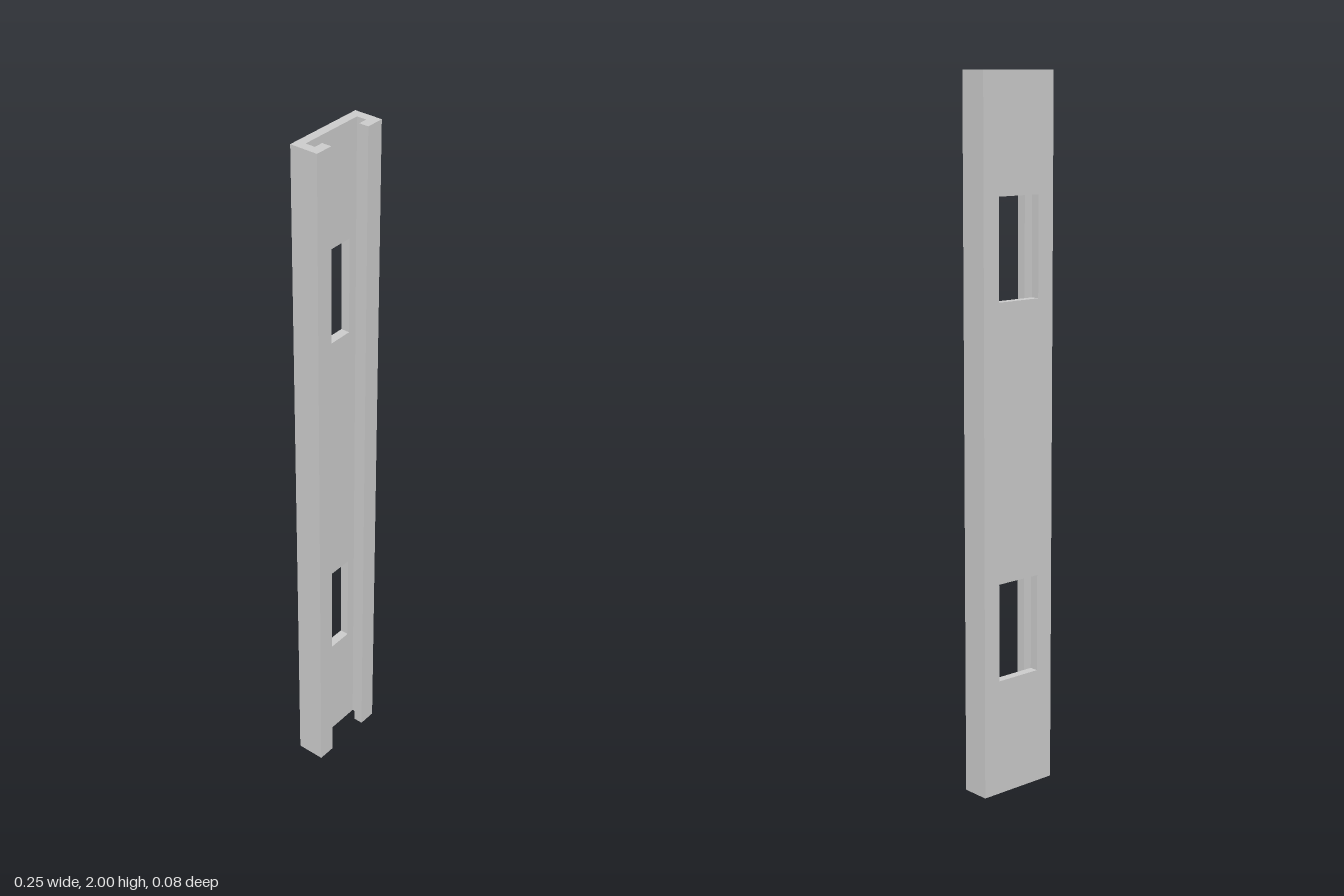
import * as THREE from 'three';

const H = 2, HALF_W = 0.124, INNER = 0.098, LIP = 0.071;
const BACK = -0.0415, WEB = -0.0155, LIP_BACK = 0.0135, FRONT = 0.0415;

const material = new THREE.MeshStandardMaterial({ color: 0xcccccc });

const points = (list) => list.map(([x, y]) => new THREE.Vector2(x, y));
const rect = (x, y0, y1) => points([[-x, y0], [x, y0], [x, y1], [-x, y1]]);

function addPart(group, name, shape, depth) {
  const geometry = new THREE.ExtrudeGeometry(shape, { depth, bevelEnabled: false });
  const mesh = new THREE.Mesh(geometry, material);
  mesh.name = name;
  group.add(mesh);
  return mesh;
}

export function createModel() {
  const group = new THREE.Group();
  group.name = 'slottedChannel';

  // Back plate with two rectangular windows
  const plate = new THREE.Shape(rect(HALF_W, 0, H));
  for (const y of [0.333, 1.393]) plate.holes.push(new THREE.Path(rect(LIP, y, y + 0.28)));
  addPart(group, 'backPlate', plate, WEB - BACK).position.z = BACK;

  // Side flanges with inward lips, extruded upwards from an L section (x, -z)
  for (const [name, s] of [['leftFlange', 1], ['rightFlange', -1]]) {
    const section = new THREE.Shape(points([
      [s * HALF_W, -WEB], [s * INNER, -WEB], [s * INNER, -LIP_BACK],
      [s * LIP, -LIP_BACK], [s * LIP, -FRONT], [s * HALF_W, -FRONT],
    ]));
    addPart(group, name, section, H).rotation.x = -Math.PI / 2;
  }

  return group;
}
